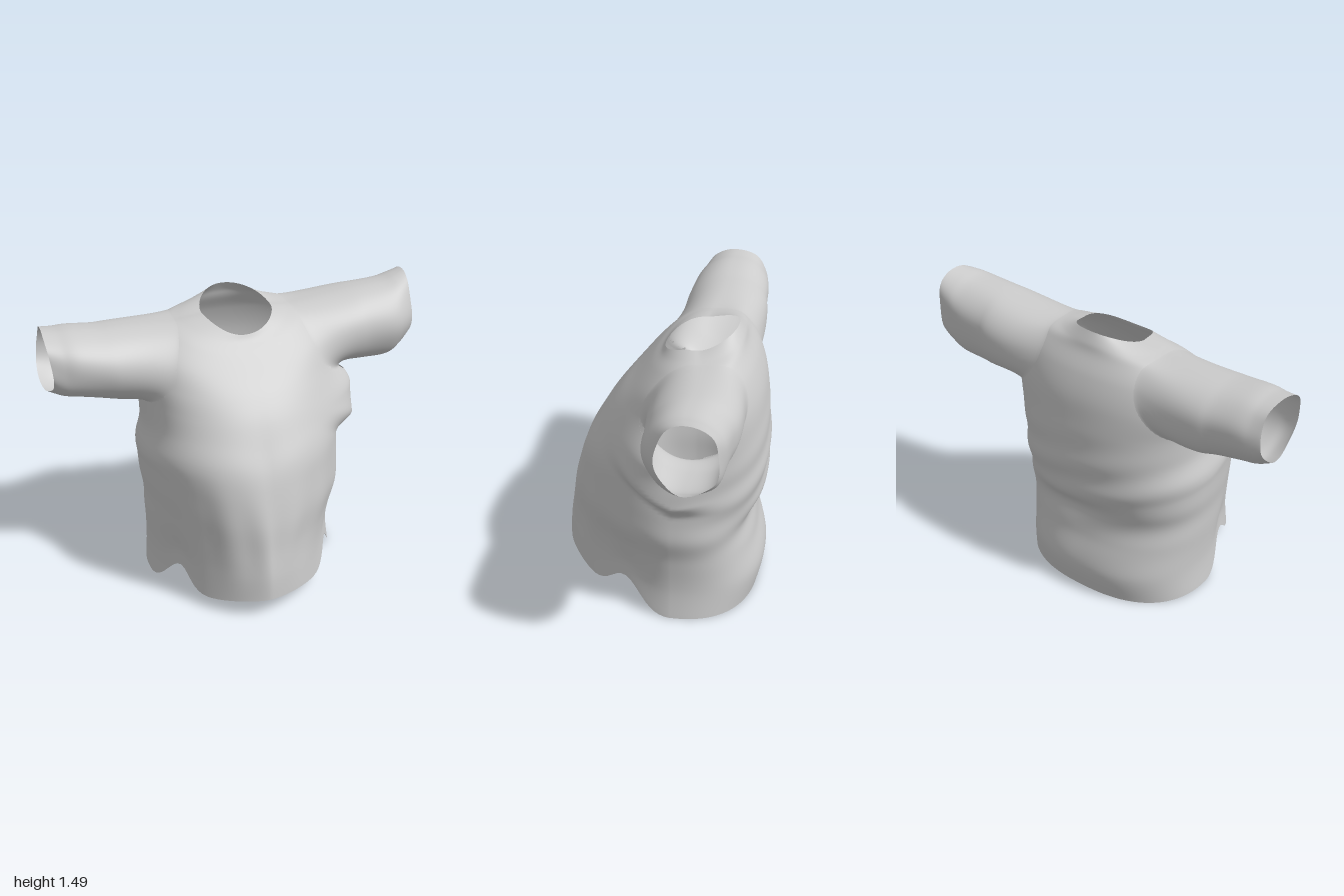
import * as THREE from 'three';

const { lerp, smoothstep } = THREE.MathUtils;
const bump = (x, centre, width) => Math.exp(-(((x - centre) / width) ** 2));
const power = (v, p) => Math.sign(v) * Math.abs(v) ** (2 / p);

// Smoothly interpolates every column of a table of cross-sections, t in 0..1
function sampleRows(rows, t) {
  const f = t * (rows.length - 1);
  const i = Math.min(Math.floor(f), rows.length - 2);
  const k = f - i;
  const row = (j) => rows[THREE.MathUtils.clamp(j, 0, rows.length - 1)];
  return rows[i].map((b, c) => {
    const p = row(i - 1)[c], q = row(i + 1)[c], r = row(i + 2)[c];
    return b + 0.5 * k * (q - p + k * (2 * p - 5 * b + 4 * q - r + k * (3 * (b - q) + r - p)));
  });
}

// Closed loops joined along a path; faces for which skip(angle, t) holds are left open
function loft(name, around, along, pointAt, skip = () => false) {
  const pos = [], index = [];
  const angle = (i) => (i / around) * Math.PI * 2;
  for (let j = 0; j <= along; j++)
    for (let i = 0; i < around; i++) pos.push(...pointAt(angle(i), j / along));
  for (let j = 0; j < along; j++)
    for (let i = 0; i < around; i++) {
      if (skip(angle(i + 0.5), (j + 0.5) / along)) continue;
      const a = j * around + i, b = j * around + ((i + 1) % around);
      const c = a + around, d = b + around;
      index.push(a, c, b, b, c, d);
    }
  const geo = new THREE.BufferGeometry();
  geo.setAttribute('position', new THREE.Float32BufferAttribute(pos, 3));
  geo.setIndex(index);
  geo.computeVertexNormals();
  const mesh = new THREE.Mesh(geo, new THREE.MeshStandardMaterial({ color: 0xcccccc, side: THREE.DoubleSide }));
  mesh.name = name;
  return mesh;
}

// Front y, side y, back y, left x, right x, front z, back z, widest z; hem to neckline
const bodyRows = [
  [0.12, 0.02, 0.02, 0.51, 0.51, 0.54, -0.51, -0.1],
  [0.24, 0.18, 0.18, 0.49, 0.5, 0.535, -0.54, -0.1],
  [0.38, 0.36, 0.36, 0.5, 0.51, 0.515, -0.5, -0.1],
  [0.52, 0.52, 0.5, 0.53, 0.52, 0.495, -0.48, -0.1],
  [0.66, 0.69, 0.62, 0.52, 0.54, 0.46, -0.525, -0.11],
  [0.78, 0.77, 0.76, 0.52, 0.54, 0.42, -0.54, -0.12],
  [0.9, 0.9, 0.9, 0.52, 0.51, 0.36, -0.54, -0.15],
  [1.02, 1.03, 1.05, 0.53, 0.51, 0.295, -0.53, -0.18],
  [1.11, 1.18, 1.2, 0.53, 0.52, 0.23, -0.51, -0.22],
  [1.2, 1.32, 1.32, 0.5, 0.5, 0.15, -0.47, -0.22],
  [1.29, 1.4, 1.41, 0.4, 0.4, 0.07, -0.42, -0.22],
  [1.34, 1.425, 1.46, 0.28, 0.28, 0.02, -0.4, -0.2],
  [1.37, 1.44, 1.51, 0.2, 0.17, 0, -0.37, -0.19],
];

function bodyPoint(a, t) {
  const [yF, yS, yB, xL, xR, zF, zB, zM] = sampleRows(bodyRows, t);
  const c = Math.cos(a), s = Math.sin(a);
  const front = Math.max(0, s);
  const p = s > 0 ? lerp(1.6, 2.1, smoothstep(t, 0.1, 0.5)) : lerp(2.45, 2, t * t);
  let x = power(c, p) * (c > 0 ? xL : xR) - 0.07 * (1 - t) * front ** 2;
  let z = zM + power(s, p) * (s > 0 ? zF - zM : zM - zB);
  let y = s > 0 ? lerp(yS, yF, s * s) : lerp(yS, yB, Math.abs(s) ** 1.4);
  // Hem lifted in a notch at each side of the belly
  const notch = (bump(a, 0.5, 0.2) + bump(a, Math.PI - 0.48, 0.2)) * bump(t, 0, 0.12);
  y += 0.14 * notch;
  x *= 1 - 0.06 * notch;
  // Fold under each arm climbs towards the chest
  y += 0.12 * front * Math.abs(c) * bump(t, 0.4, 0.15);
  // Loose cloth overhanging under the left arm
  const climb = y - 0.3 * front;
  x += 0.1 * bump(Math.atan2(s, c), 0.22, 0.42) * smoothstep(climb, 0.66, 0.76) * (1 - smoothstep(y, 0.98, 1.16));
  // Hanging folds on the belly, slanting folds across the back
  const drape = 0.005 * Math.sin(a * 16) * front * bump(t, 0.2, 0.12);
  const sag = 0.007 * Math.sin(y * 32 + x * 9) * lerp(0.3, 1, Math.max(0, -s)) * (1 - front) * bump(t, 0.36, 0.16);
  x += c * (drape + sag);
  z += s * (drape + sag);
  return [x, y, z];
}

// Oval where each sleeve leaves the body, in the body's own angle and t
const ARM = { t: 0.735, height: 0.16, front: 0.75, back: 1 };

function armhole(a, t) {
  const s = Math.sin(a);
  const turn = Math.atan2(s, Math.abs(Math.cos(a))) / (s > 0 ? ARM.front : ARM.back);
  return turn ** 2 + ((t - ARM.t) / ARM.height) ** 2 < 0.88;
}

function armholePoint(side, a, scale) {
  const s = -side * Math.sin(a) * scale;
  const turn = s * (s > 0 ? ARM.front : ARM.back);
  return bodyPoint(side > 0 ? turn : Math.PI - turn, ARM.t + ARM.height * Math.cos(a) * scale);
}

// Distance from centre, top y, bottom y, front z, back z; shoulder to cuff
const sleeveRows = {
  left: [
    [0.48, 1.43, 1.0, 0.03, -0.5],
    [0.58, 1.44, 1.05, 0.01, -0.475],
    [0.7, 1.45, 1.05, -0.01, -0.435],
    [0.85, 1.46, 1.05, -0.02, -0.42],
    [0.93, 1.475, 1.08, -0.05, -0.41],
    [1, 1.49, 1.12, -0.1, -0.4],
  ],
  right: [
    [0.48, 1.43, 0.98, 0.03, -0.5],
    [0.58, 1.43, 1.02, 0, -0.47],
    [0.7, 1.43, 1.06, -0.01, -0.44],
    [0.85, 1.445, 1.09, -0.03, -0.43],
    [0.93, 1.445, 1.1, -0.05, -0.42],
    [1, 1.45, 1.13, -0.07, -0.41],
  ],
};

function sleevePoint(rows, side, a, t) {
  const [x, yT, yB, zF, zB] = sampleRows(rows, t);
  const toFront = -side * Math.sin(a);
  const p = toFront > 0 ? 2 : 2.4;
  const c = power(Math.cos(a), p), s = power(toFront, p);
  // Soft creases running along the sleeve
  const r = 1 + 0.03 * Math.sin(a * 5 + t * 4) * t;
  const y = (yT + yB) / 2 + c * ((yT - yB) / 2) * (c > 0 ? 1 : r);
  const z = (zF + zB) / 2 + s * ((zF - zB) / 2) * r;
  // Cuff edge is slightly uneven
  const tube = [side * (x - 0.01 * t ** 6 * (1 + Math.cos(a * 2 + 2))), y, z];
  // Shoulder end grows smoothly out of the armhole
  const k = Math.min(t / 0.36, 1);
  const root = armholePoint(side, a, 1 - 0.25 * k);
  return root.map((v, i) => lerp(v, tube[i], smoothstep(k, 0, 1)));
}

export function createModel() {
  const shirt = new THREE.Group();
  shirt.name = 'shirt';
  shirt.add(loft('body', 128, 108, bodyPoint, armhole));
  for (const [name, side] of [['left', 1], ['right', -1]])
    shirt.add(loft(name + 'Sleeve', 64, 40, (a, t) => sleevePoint(sleeveRows[name], side, a, t)));
  return shirt;
}
